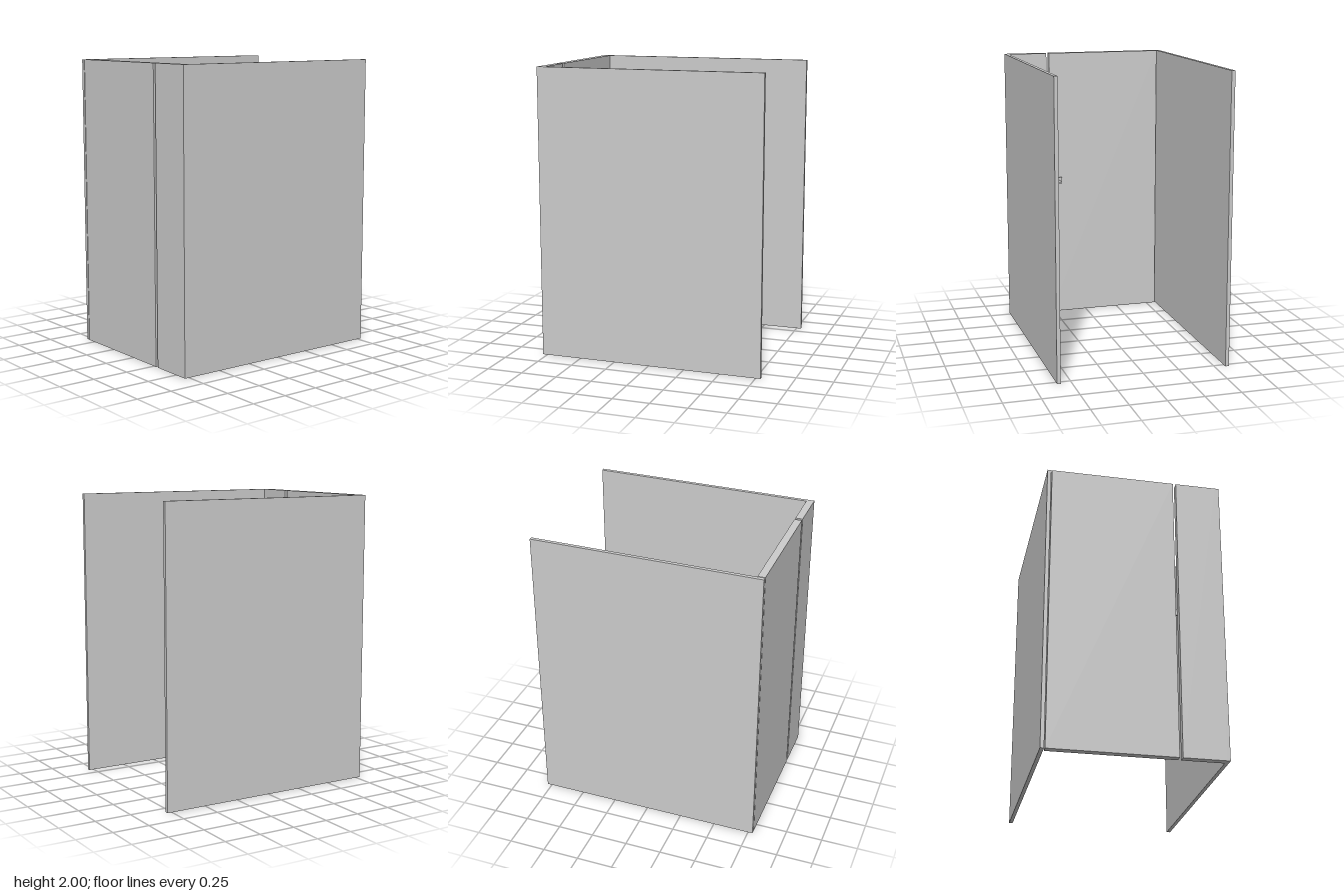
import * as THREE from 'three';

export function createModel() {
  const model = new THREE.Group();
  const material = new THREE.MeshStandardMaterial({ color: 0xcccccc });

  function add(name, geometry, parent = model) {
    const mesh = new THREE.Mesh(geometry, material);
    mesh.name = name;
    parent.add(mesh);
    return mesh;
  }

  // Box given by its lower and upper limits on each axis
  function block(name, [x0, x1], [y0, y1], [z0, z1], parent) {
    const mesh = add(name, new THREE.BoxGeometry(x1 - x0, y1 - y0, z1 - z0), parent);
    mesh.position.set((x0 + x1) / 2, (y0 + y1) / 2, (z0 + z1) / 2);
    return mesh;
  }

  // Partition walls, fixed door post panel and door
  const height = [0, 2];
  const wallX = [-0.783, 0.783];
  const doorX = [-0.783, -0.733];
  block('frontWall', wallX, height, [0.573, 0.598]);
  block('backWall', wallX, height, [-0.598, -0.573]);
  block('fixedPanel', doorX, height, [0.293, 0.573]);
  block('door', doorX, height, [-0.567, 0.272]);

  // Swinging latch bar on the inside of the door
  const latch = new THREE.Group();
  latch.name = 'latch';
  model.add(latch);
  block('latchBar', [-0.726, -0.713], [1.015, 1.06], [0.185, 0.345], latch);

  // Pivot pin with a washer and a head
  function disc(name, radius, x0, x1) {
    const mesh = add(name, new THREE.CylinderGeometry(radius, radius, x1 - x0, 24), latch);
    mesh.rotation.z = Math.PI / 2;
    mesh.position.set((x0 + x1) / 2, 1.034, 0.206);
  }
  disc('pivotPin', 0.006, -0.733, -0.698);
  disc('pivotWasher', 0.01, -0.733, -0.726);
  disc('pivotHead', 0.01, -0.708, -0.698);

  // Catch plate with a slot for the bar
  const plate = new THREE.Shape([
    [-0.733, 0.995], [-0.687, 0.995], [-0.687, 1.075], [-0.733, 1.075],
  ].map(([x, y]) => new THREE.Vector2(x, y)));
  plate.holes.push(new THREE.Path([
    [-0.728, 1.012], [-0.728, 1.063], [-0.706, 1.063], [-0.706, 1.012],
  ].map(([x, y]) => new THREE.Vector2(x, y))));
  const catchPlate = add('catchPlate',
    new THREE.ExtrudeGeometry(plate, { depth: 0.012, bevelEnabled: false }), latch);
  catchPlate.position.z = 0.315;

  return model;
}
